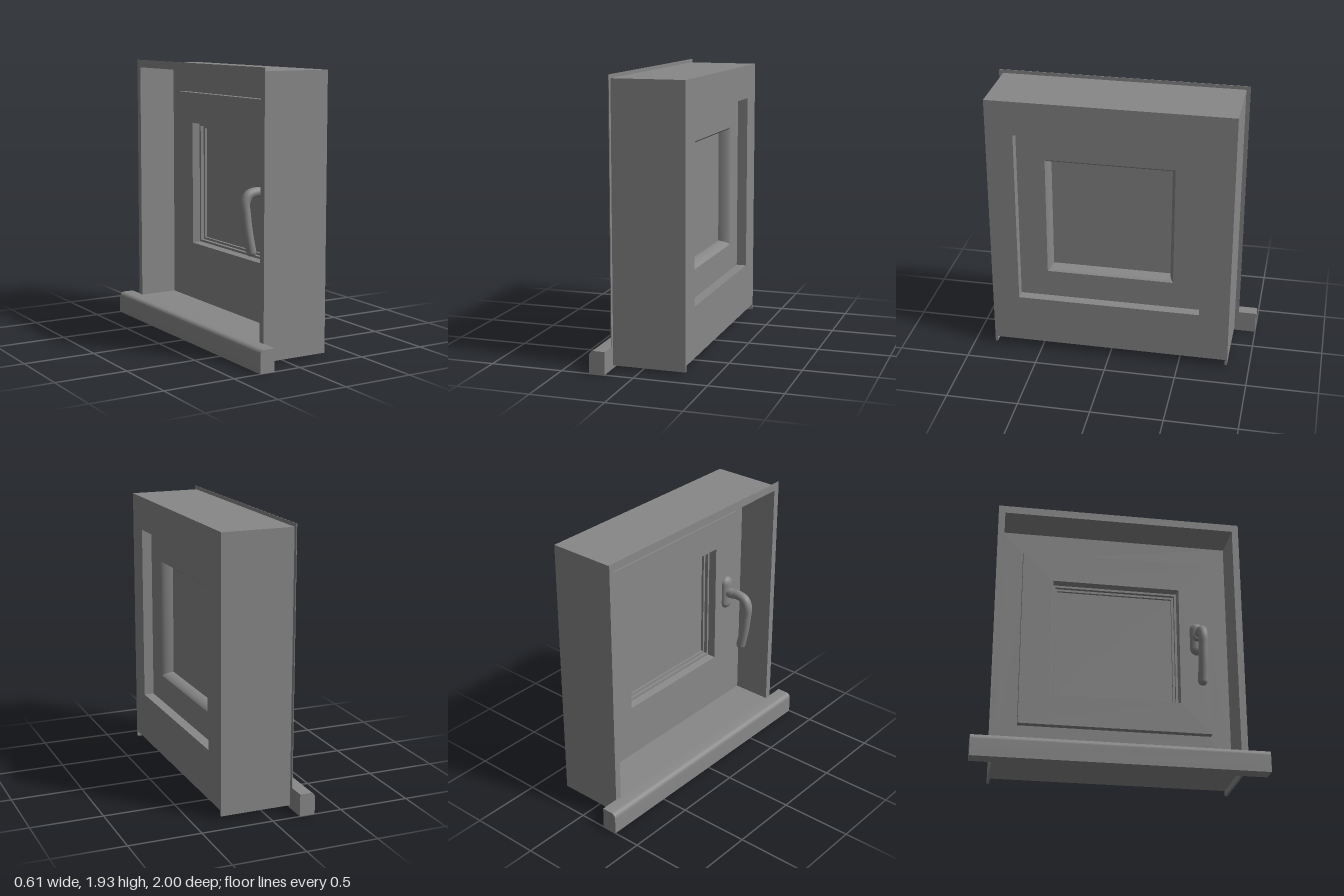
import * as THREE from 'three';
import { toCreasedNormals } from 'three/addons/utils/BufferGeometryUtils.js';

const grey = new THREE.MeshStandardMaterial({ color: 0x888888 });

// Glass rectangle in z and y; every window profile is offset outward from it
const GLASS = { z0: -0.41, z1: 0.43, y0: 0.635, y1: 1.445 };

function add(group, name, geometry) {
  const mesh = new THREE.Mesh(geometry, grey);
  mesh.name = name;
  group.add(mesh);
  return mesh;
}

// Box given by its limits on each axis
function box(group, name, x0, x1, y0, y1, z0, z1) {
  const mesh = add(group, name, new THREE.BoxGeometry(x1 - x0, y1 - y0, z1 - z0));
  mesh.position.set((x0 + x1) / 2, (y0 + y1) / 2, (z0 + z1) / 2);
  return mesh;
}

function rect(path, z0, z1, y0, y1) {
  path.moveTo(z0, y0);
  path.lineTo(z1, y0);
  path.lineTo(z1, y1);
  path.lineTo(z0, y1);
  path.closePath();
  return path;
}

// Upright plate with a rectangular hole, limits are [z0, z1, y0, y1]
function plate(group, name, x0, x1, outer, hole) {
  const shape = rect(new THREE.Shape(), ...outer);
  shape.holes.push(rect(new THREE.Path(), ...hole));
  const geo = new THREE.ExtrudeGeometry(shape, { depth: x1 - x0, bevelEnabled: false });
  geo.rotateY(-Math.PI / 2).translate(x1, 0, 0);
  return add(group, name, geo);
}

// Mitred frame: a closed [x, outward offset] profile swept round the glass
function mitredFrame(group, name, profile) {
  const { z0, z1, y0, y1 } = GLASS;
  const loops = profile.map(([x, d]) => [
    [x, y0 - d, z0 - d], [x, y0 - d, z1 + d], [x, y1 + d, z1 + d], [x, y1 + d, z0 - d],
  ]);
  const pos = [];
  loops.forEach((loop, i) => {
    const next = loops[(i + 1) % loops.length];
    for (let k = 0; k < 4; k++) {
      const m = (k + 1) % 4;
      pos.push(...loop[k], ...loop[m], ...next[m], ...loop[k], ...next[m], ...next[k]);
    }
  });
  const geo = new THREE.BufferGeometry();
  geo.setAttribute('position', new THREE.Float32BufferAttribute(pos, 3));
  return add(group, name, toCreasedNormals(geo, 0.5));
}

function createModel() {
  const model = new THREE.Group();
  model.name = 'windowUnit';

  // Outer wall with the window opening
  const { z0, z1, y0, y1 } = GLASS;
  const o = 0.225;
  plate(model, 'outerWall', 0.082, 0.305, [-0.832, 0.832, 0.06, 1.885],
    [z0 - o, z1 + o, y0 - o, y1 + o]);

  // Side linings and lintel, each with a thin cover trim on the room side
  for (const s of [-1, 1]) {
    const side = s > 0 ? 'left' : 'right';
    const span = (a, b) => (s > 0 ? [a, b] : [-b, -a]);
    box(model, side + 'Lining', -0.197, 0.305, 0.02, 1.91, ...span(0.83, 0.846));
    box(model, side + 'Trim', -0.2, -0.196, 0.02, 1.935, ...span(0.828, 0.875));
  }
  box(model, 'lintel', -0.197, 0.305, 1.88, 1.91, -0.83, 0.83);
  box(model, 'topTrim', -0.2, -0.196, 1.88, 1.935, -0.828, 0.828);

  // Sill board and its projecting rounded nose
  box(model, 'sillBoard', -0.197, 0.084, 0.06, 0.155, -0.83, 0.83);
  const nose = new THREE.Shape();
  nose.moveTo(-0.305, 0);
  nose.lineTo(-0.196, 0);
  nose.lineTo(-0.196, 0.155);
  nose.lineTo(-0.27, 0.155);
  nose.absarc(-0.27, 0.12, 0.035, Math.PI / 2, Math.PI, false);
  nose.closePath();
  const noseGeo = new THREE.ExtrudeGeometry(nose, { depth: 2, bevelEnabled: false, curveSegments: 8 });
  add(model, 'sillNose', toCreasedNormals(noseGeo.translate(0, 0, -1), 0.5));

  // Sash: overlapping lip, stepped room side and rounded outer glazing bead
  mitredFrame(model, 'sash', [
    [0.03, 0.26], [0.03, 0.04], [0.085, 0.032], [0.085, 0.016], [0.11, 0.016], [0.11, 0],
    [0.16, 0], [0.18, 0.002], [0.197, 0.006], [0.212, 0.012], [0.224, 0.019], [0.233, 0.028],
    [0.233, o], [0.08, o], [0.08, 0.26],
  ]);
  box(model, 'glass', 0.128, 0.152, y0 - 0.005, y1 + 0.005, z0 - 0.005, z1 + 0.005);

  // Handle: oval rose, neck and curved lever
  const handle = new THREE.Group();
  handle.name = 'handle';
  handle.position.z = 0.595;
  model.add(handle);
  const rose = add(handle, 'handleRose', new THREE.CapsuleGeometry(0.05, 0.15, 6, 20));
  rose.scale.x = 0.7;
  rose.position.set(0.03, 1.095, 0);
  const neck = add(handle, 'handleNeck', new THREE.CylinderGeometry(0.036, 0.036, 0.07, 20));
  neck.rotation.z = Math.PI / 2;
  neck.position.set(-0.02, 1.1, 0);
  const path = new THREE.CatmullRomCurve3([
    [-0.02, 1.1], [-0.09, 1.105], [-0.143, 1.088], [-0.168, 1.04],
    [-0.162, 0.95], [-0.145, 0.83], [-0.12, 0.71],
  ].map(([x, y]) => new THREE.Vector3(x, y, 0)));
  add(handle, 'handleLever', new THREE.TubeGeometry(path, 40, 0.034, 16));
  const tip = add(handle, 'handleTip', new THREE.SphereGeometry(0.034, 16, 12));
  tip.position.set(-0.12, 0.71, 0);

  return model;
}

export { createModel };
